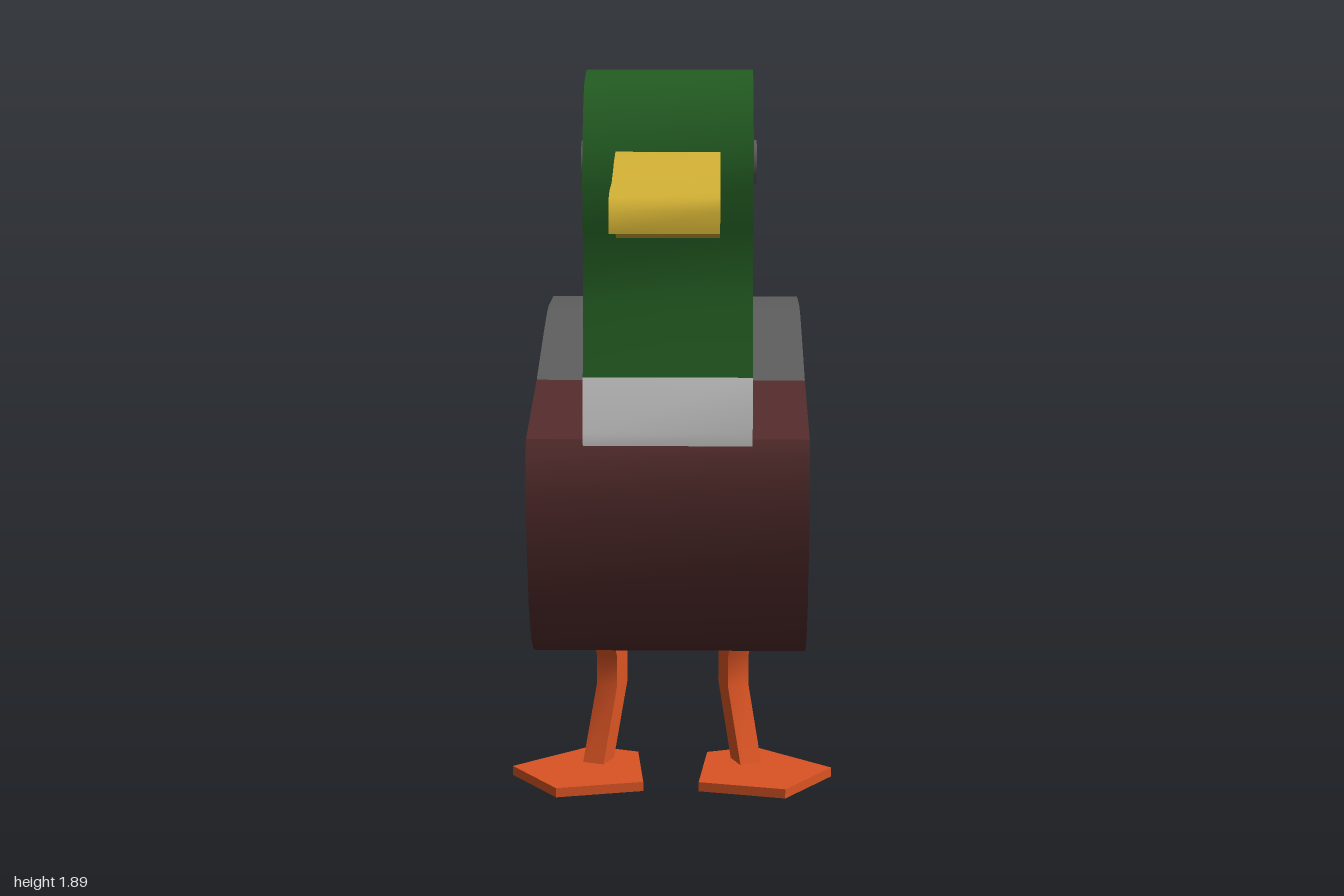
import * as THREE from 'three';
import { toCreasedNormals } from 'three/addons/utils/BufferGeometryUtils.js';

const paint = (name, color) => {
  const m = new THREE.MeshStandardMaterial({ color });
  m.name = name;
  return m;
};

// Side profile (forward, up) extruded symmetrically across the width
function slab(points, width) {
  const shape = new THREE.Shape(points.map(([x, y]) => new THREE.Vector2(x, y)));
  const geo = new THREE.ExtrudeGeometry(shape, { depth: width, bevelEnabled: false });
  geo.translate(0, 0, -width / 2);
  return toCreasedNormals(geo, 0.7);
}

function part(name, geometry, material) {
  const mesh = new THREE.Mesh(geometry, material);
  mesh.name = name;
  return mesh;
}

export function createModel() {
  const grey = paint('grey', 0x5e5e5e);
  const maroon = paint('maroon', 0x552d2d);
  const green = paint('green', 0x235c22);
  const white = paint('white', 0xd6d6d6);
  const yellow = paint('yellow', 0xd4b235);
  const orange = paint('orange', 0xdb5424);

  // Built facing +x, then turned to its diagonal heading
  const duck = new THREE.Group();
  duck.name = 'duck';
  const bodyWidth = 0.686, headWidth = 0.41, billWidth = 0.25;

  // Shared seam between chest and body, top to bottom
  const seam = [[0.495, 1.1], [0.527, 0.95], [0.527, 0.87], [0.484, 0.74],
    [0.405, 0.63], [0.36, 0.53], [0.343, 0.395]];

  duck.add(part('body', slab([
    ...seam, [0.06, 0.39], [-0.22, 0.397], [-0.477, 0.415], [-0.647, 0.46], [-0.79, 0.54],
    [-0.887, 0.64], [-0.986, 0.79], [-1.03, 0.88], [-1.057, 1.0], [-1.07, 1.085],
    [-0.986, 1.045], [-0.887, 1.03], [-0.79, 1.045], [-0.675, 1.085], [-0.463, 1.175],
    [-0.22, 1.23], [-0.01, 1.23], [0.06, 1.22], [0.2, 1.185],
  ], bodyWidth), grey));

  duck.add(part('chest', slab([
    ...seam, [0.57, 0.408], [0.689, 0.44], [0.774, 0.49], [0.845, 0.59], [0.9, 0.75],
    [0.915, 0.87], [0.912, 0.97], [0.89, 1.015],
  ], bodyWidth), maroon));

  duck.add(part('collar', slab([
    [0.488, 1.0], [0.9, 1.0], [0.903, 1.03], [0.884, 1.165], [0.488, 1.18],
  ], headWidth), white));

  duck.add(part('head', slab([
    [0.488, 1.18], [0.884, 1.165], [0.845, 1.33], [0.832, 1.42], [0.845, 1.52], [0.86, 1.62],
    [0.845, 1.71], [0.8, 1.8], [0.742, 1.86], [0.643, 1.89], [0.544, 1.89], [0.445, 1.86],
    [0.375, 1.79], [0.332, 1.72], [0.318, 1.64], [0.332, 1.54], [0.389, 1.42], [0.46, 1.33],
  ], headWidth), green));

  duck.add(part('bill', slab([
    [0.82, 1.49], [0.93, 1.53], [1.05, 1.548], [1.288, 1.55], [1.288, 1.6], [1.265, 1.63],
    [1.215, 1.642], [1.1, 1.65], [1.02, 1.67], [0.95, 1.69], [0.87, 1.705], [0.82, 1.705],
  ], billWidth), yellow));

  // Leg bends at the knee; webbed foot is a flat five-sided plate
  const r = 0.036;
  const bend = [[0.055, 0.43], [0, 0.3], [0, 0.22], [0.1, 0.015]];
  const legGeo = slab([
    ...bend.map(([x, y]) => [x - r, y]),
    ...bend.slice().reverse().map(([x, y]) => [x + r, y]),
  ], 0.06);
  const footGeo = slab([[-0.015, -0.07], [0.235, -0.19], [0.372, 0], [0.235, 0.19], [-0.015, 0.07]], 0.025);
  footGeo.rotateX(-Math.PI / 2).translate(0, 0.0125, 0);

  for (const side of [-1, 1]) {
    const name = side < 0 ? 'left' : 'right';
    const leg = new THREE.Group();
    leg.name = name + 'Leg';
    leg.add(part(name + 'Shin', legGeo, orange), part(name + 'Foot', footGeo, orange));
    leg.position.set(0.178, 0, side * 0.165);
    leg.rotation.y = -side * 0.37;
    duck.add(leg);

    // Slightly raised round eye
    const eye = part(name + 'Eye', new THREE.CylinderGeometry(0.053, 0.053, 0.009, 12), grey);
    eye.rotation.x = Math.PI / 2;
    eye.position.set(0.684, 1.67, side * (headWidth / 2 + 0.0045));
    duck.add(eye);
  }

  duck.rotation.y = -Math.PI * 0.75;
  const model = new THREE.Group();
  model.name = 'duckModel';
  model.add(duck);
  return model;
}
